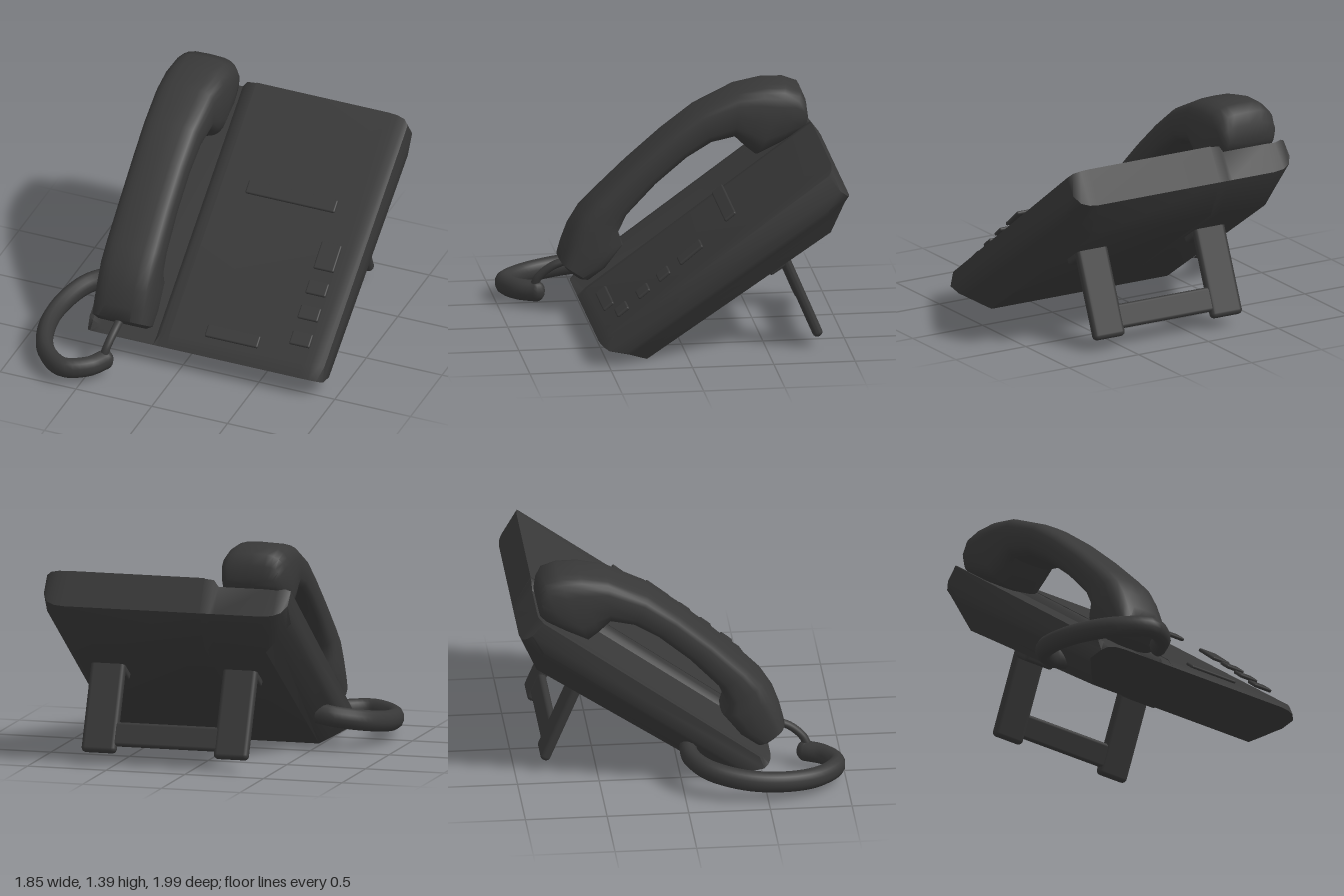
import * as THREE from 'three';
import { toCreasedNormals } from 'three/addons/utils/BufferGeometryUtils.js';
import { RoundedBoxGeometry } from 'three/addons/geometries/RoundedBoxGeometry.js';

// Skins closed rings of [x, y, z] points, caps both ends and faces outward
function loft(rings, crease) {
  const n = rings[0].length, pts = rings.flat(), idx = [];
  for (let r = 0; r < rings.length - 1; r++) {
    for (let i = 0; i < n; i++) {
      const a = r * n + i, b = r * n + (i + 1) % n;
      idx.push(a, b, a + n, b, b + n, a + n);
    }
  }
  [[0, true], [rings.length - 1, false]].forEach(([r, flip]) => {
    const c = [0, 1, 2].map(k => rings[r].reduce((s, p) => s + p[k], 0) / n);
    pts.push(c);
    for (let i = 0; i < n; i++) {
      const a = r * n + i, b = r * n + (i + 1) % n, m = pts.length - 1;
      idx.push(...(flip ? [m, b, a] : [m, a, b]));
    }
  });
  const v = pts.map(p => new THREE.Vector3(...p));
  let volume = 0;
  for (let i = 0; i < idx.length; i += 3) {
    volume += v[idx[i]].dot(v[idx[i + 1]].clone().cross(v[idx[i + 2]]));
  }
  if (volume < 0) idx.reverse();
  const g = new THREE.BufferGeometry();
  g.setAttribute('position', new THREE.Float32BufferAttribute(pts.flat(), 3));
  g.setIndex(idx);
  return toCreasedNormals(g, crease);
}

// Side profile [z, y] of the sloping case, in the middle and at its outer edge
const FULL = [[0.50, 0.20], [0.55, 0.13], [0.25, 0.0], [-0.88, 0.76], [-0.99, 1.0], [-0.88, 1.2]];
const EDGE = [[0.47, 0.20], [0.50, 0.10], [0.40, 0.08], [-0.85, 0.94], [-0.92, 1.06], [-0.85, 1.16]];

// topInset and bottomInset blend towards the edge profile; drop lowers the top face
function caseSection([x, topInset, bottomInset, drop = 0]) {
  return FULL.map(([z, y], i) => {
    const t = i === 2 || i === 3 ? bottomInset : topInset;
    const top = i === 0 || i === 5 ? drop : 0;
    return [x, y + (EDGE[i][1] - y) * t - top, z + (EDGE[i][0] - z) * t];
  });
}

export function createModel() {
  const model = new THREE.Group();
  const charcoal = new THREE.MeshStandardMaterial({ color: 0x383838 });
  charcoal.name = 'charcoal plastic';

  const add = (name, geometry, parent = model) => {
    const mesh = new THREE.Mesh(geometry, charcoal);
    mesh.name = name;
    parent.add(mesh);
    return mesh;
  };

  // Case: wide panel on the model's left, shallow cradle on its right
  add('panelBody', loft([
    [-0.09, 0, 0], [0.78, 0, 0], [0.84, 0.08, 0.42], [0.89, 0.35, 0.8], [0.92, 1, 1],
  ].map(caseSection), 0.8));
  add('cradle', loft([
    [-0.63, 1, 1, 0.02], [-0.6, 0.4, 0.8, 0.03], [-0.55, 0.1, 0.45, 0.05], [-0.48, 0, 0, 0.05],
    [-0.18, 0, 0, 0.05], [-0.15, 0, 0, 0.01], [-0.09, 0, 0, 0.004],
  ].map(caseSection), 0.8));

  // Handset: rounded sections from mouthpiece to earpiece
  // each row: outer z, outer y, inner z, inner y, half width
  const stations = [
    [0.61, 0.28, 0.50, 0.20, 0.15], [0.64, 0.32, 0.46, 0.20, 0.185], [0.62, 0.40, 0.36, 0.27, 0.19],
    [0.58, 0.51, 0.25, 0.41, 0.19], [0.51, 0.62, 0.28, 0.49, 0.187], [0.42, 0.71, 0.23, 0.60, 0.183],
    [0.22, 0.90, 0.05, 0.79, 0.178], [0.0, 1.09, -0.14, 0.95, 0.178], [-0.2, 1.24, -0.29, 1.04, 0.183],
    [-0.45, 1.36, -0.43, 1.07, 0.195], [-0.62, 1.395, -0.50, 1.0, 0.205], [-0.75, 1.395, -0.56, 0.95, 0.207],
    [-0.84, 1.36, -0.70, 1.02, 0.205], [-0.87, 1.29, -0.82, 1.09, 0.19], [-0.88, 1.21, -0.86, 1.13, 0.16],
  ];
  const power = (v) => Math.sign(v) * Math.pow(Math.abs(v), 0.58);
  const handsetRings = stations.map(([oz, oy, iz, iy, w]) =>
    Array.from({ length: 24 }, (_, i) => {
      const a = i / 24 * Math.PI * 2, s = (power(Math.sin(a)) + 1) / 2;
      return [-0.38 + w * power(Math.cos(a)), iy + (oy - iy) * s, iz + (oz - iz) * s];
    }));
  add('handset', loft(handsetRings, 0.9));

  // Raised keys and bars: x, y, z, width, depth
  [
    ['upperBar', 0.395, 0.855, -0.275, 0.59, 0.085],
    ['lowerBar', 0.305, 0.25, 0.445, 0.35, 0.08],
    ['largeKey', 0.738, 0.655, -0.02, 0.135, 0.18],
    ['smallKey1', 0.738, 0.525, 0.145, 0.135, 0.09],
    ['smallKey2', 0.738, 0.42, 0.27, 0.135, 0.09],
    ['smallKey3', 0.738, 0.31, 0.4, 0.135, 0.09],
  ].forEach(([name, x, y, z, w, d]) => {
    const key = add(name, new RoundedBoxGeometry(w, 0.022, d, 2, 0.01));
    key.position.set(x, y, z);
    key.rotation.x = 0.68;
  });

  // Folding stand: two legs with a crossbar, leaning backwards
  const stand = new THREE.Group();
  stand.name = 'stand';
  stand.position.set(0.18, 0.35, -0.705);
  stand.rotation.x = 0.4;
  model.add(stand);
  for (const side of [-1, 1]) {
    add(side > 0 ? 'leftLeg' : 'rightLeg', new RoundedBoxGeometry(0.22, 0.6, 0.062, 3, 0.028), stand)
      .position.x = side * 0.42;
    const hinge = add(side > 0 ? 'leftHinge' : 'rightHinge', new RoundedBoxGeometry(0.22, 0.06, 0.13, 2, 0.02));
    hinge.position.set(0.18 + side * 0.42, 0.53, -0.56);
    hinge.rotation.x = 0.58;
  }
  add('crossbar', new RoundedBoxGeometry(0.7, 0.15, 0.05, 2, 0.02), stand).position.y = -0.18;

  // Cord looping from the side of the case to the mouthpiece, slightly taller than wide
  const tube = (name, points, radius, tall) => {
    const curve = new THREE.CatmullRomCurve3(points.map(([x, y, z]) => new THREE.Vector3(x, y / tall, z)));
    add(name, new THREE.TubeGeometry(curve, 40, radius, 12).scale(1, tall, 1));
  };
  tube('cord', [
    [-0.53, 0.23, 0.04], [-0.64, 0.21, 0.045], [-0.78, 0.18, 0.14], [-0.865, 0.14, 0.36], [-0.86, 0.115, 0.6],
    [-0.77, 0.1, 0.82], [-0.61, 0.1, 0.945], [-0.47, 0.1, 0.88], [-0.405, 0.1, 0.77],
  ], 0.054, 1.22);
  add('cordEnd', new THREE.SphereGeometry(0.054, 12, 8).scale(1, 1.22, 1)).position.set(-0.405, 0.1, 0.77);
  tube('handsetLead', [
    [-0.41, 0.12, 0.79], [-0.395, 0.19, 0.76], [-0.38, 0.26, 0.68], [-0.375, 0.3, 0.58],
  ], 0.026, 1);

  return model;
}
